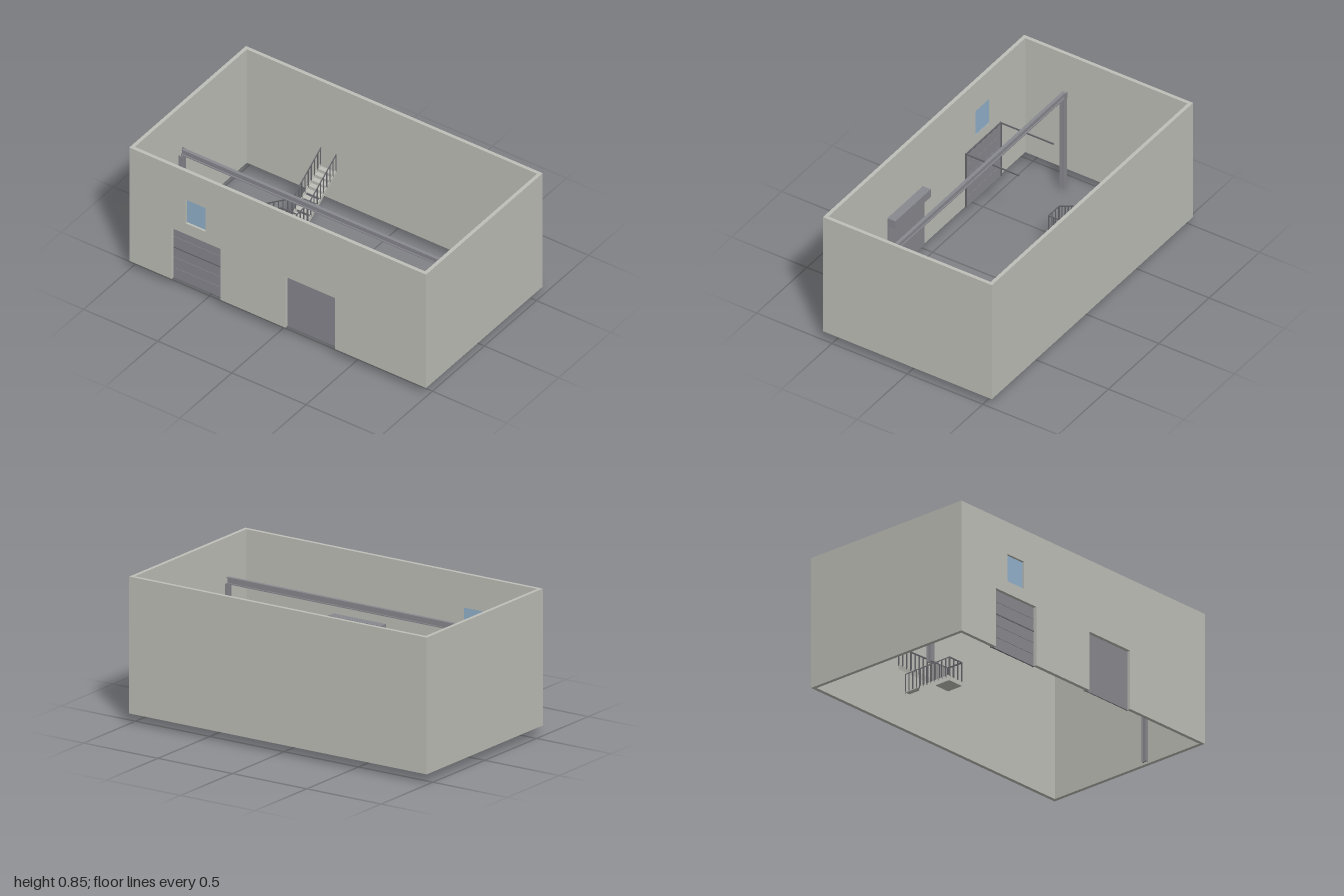
import * as THREE from 'three';

const mat = (name, color, extra = {}) => {
  const m = new THREE.MeshStandardMaterial({ color, ...extra });
  m.name = name;
  return m;
};

export function createModel() {
  const model = new THREE.Group();
  model.name = 'warehouse';
  const wall = mat('concrete', 0xbfbfb9);
  const steel = mat('steel', 0x88888f);
  const dark = mat('darkSteel', 0x66666c);
  const glass = mat('glass', 0x93b2cc);

  const group = (name, parent = model) => {
    const g = new THREE.Group();
    g.name = name;
    parent.add(g);
    return g;
  };
  // Box given by its minimum and maximum corners
  const box = (parent, name, m, [x0, y0, z0], [x1, y1, z1]) => {
    const mesh = new THREE.Mesh(new THREE.BoxGeometry(x1 - x0, y1 - y0, z1 - z0), m);
    mesh.position.set((x0 + x1) / 2, (y0 + y1) / 2, (z0 + z1) / 2);
    mesh.name = name;
    parent.add(mesh);
    return mesh;
  };
  // Flat outline in xy pushed out along z
  const plate = (parent, name, m, points, z, depth, holes = []) => {
    const v = (list) => list.map(([x, y]) => new THREE.Vector2(x, y));
    const shape = new THREE.Shape(v(points));
    holes.forEach((h) => shape.holes.push(new THREE.Path(v(h))));
    const mesh = new THREE.Mesh(new THREE.ExtrudeGeometry(shape, { depth, bevelEnabled: false }), m);
    mesh.position.z = z;
    mesh.name = name;
    parent.add(mesh);
  };

  // Outer walls, open above and below
  const B = 0.06, T = 0.85, X = 1, Z = 0.56, t = 0.022;
  const walls = group('walls');
  plate(walls, 'frontWall', wall, [
    [-X, B], [-0.715, B], [-0.715, 0.415], [-0.385, 0.415], [-0.385, B],
    [0.052, B], [0.052, 0.415], [0.385, 0.415], [0.385, B], [X, B], [X, T], [-X, T],
  ], Z - t, t, [[[-0.62, 0.49], [-0.62, 0.655], [-0.485, 0.655], [-0.485, 0.49]]]);
  box(walls, 'backWall', wall, [-X, B, -Z], [X, T, -Z + t]);
  for (const s of [-1, 1]) {
    const xs = [s * X, s * (X - t)].sort((a, b) => a - b);
    box(walls, 'sideWall', wall, [xs[0], B, -Z + t], [xs[1], T, Z - t]);
  }
  box(model, 'windowPane', glass, [-0.62, 0.49, 0.54], [-0.485, 0.655, 0.546]);

  // Sectional door: five panels on overhead rails
  const door = group('sectionalDoor');
  const panel = (0.418 - B) / 5;
  for (let i = 0; i < 5; i++) {
    box(door, 'doorPanel', steel, [-0.72, B + i * panel, 0.53], [-0.38, B + (i + 1) * panel - 0.002, 0.54]);
  }
  box(door, 'doorSeams', dark, [-0.72, B, 0.532], [-0.38, 0.418, 0.538]);
  box(door, 'doorSeamStrip', dark, [-0.715, 0.268, 0.54], [-0.385, 0.275, 0.542]);
  for (const x of [-0.725, -0.38]) {
    box(door, 'overheadRail', dark, [x - 0.003, 0.422, 0.18], [x + 0.003, 0.43, 0.538]);
    box(door, 'verticalTrack', dark, [x - 0.003, B, 0.526], [x + 0.003, 0.43, 0.538]);
  }
  box(door, 'springBar', dark, [-0.725, 0.422, 0.527], [-0.38, 0.43, 0.535]);

  // Roller door with its drum casing
  const roller = group('rollerDoor');
  box(roller, 'rollerCurtain', steel, [0.048, B, 0.531], [0.388, 0.42, 0.539]);
  box(roller, 'rollerCasing', steel, [0.04, 0.415, 0.485], [0.392, 0.468, 0.538]);
  for (const x of [0.04, 0.384]) {
    box(roller, 'rollerGuide', steel, [x, B, 0.527], [x + 0.008, 0.415, 0.538]);
  }

  // Portal frame: I-section beam on two H-section posts
  const portal = group('portalFrame');
  box(portal, 'beamTopFlange', steel, [-0.882, 0.669, 0.205], [0.878, 0.675, 0.225]);
  box(portal, 'beamBottomFlange', steel, [-0.882, 0.635, 0.205], [0.878, 0.641, 0.225]);
  box(portal, 'beamWeb', steel, [-0.882, 0.641, 0.212], [0.878, 0.669, 0.218]);
  for (const [x0, x1] of [[-0.897, -0.866], [0.868, 0.889]]) {
    for (const z of [0.206, 0.231]) {
      box(portal, 'postFlange', steel, [x0, 0.015, z], [x1, 0.635, z + 0.005]);
    }
    const c = (x0 + x1) / 2;
    box(portal, 'postWeb', steel, [c - 0.003, 0.015, 0.211], [c + 0.003, 0.635, 0.231]);
  }
  box(portal, 'beamBracket', steel, [-0.893, 0.635, 0.2], [-0.87, 0.675, 0.205]);

  // Stair flight climbing along its own +x
  const rise = 0.02, W = 0.052, railH = 0.14, r = 0.0025;
  const flight = (name, n, run, parent) => {
    const g = group(name, parent);
    const L = n * run, H = n * rise;
    for (let i = 0; i < n; i++) {
      const y = (i + 1) * rise + 0.01;
      box(g, 'tread', wall, [i * run, y - 0.005, -W], [(i + 1) * run, y, W]);
    }
    for (const s of [-1, 1]) {
      const z = s * W - 0.002;
      plate(g, 'stringer', wall, [[0, 0], [L, H], [L, H + 0.03], [0, 0.03]], z, 0.004);
      plate(g, 'handrail', dark,
        [[0, railH - 0.007], [L, H + railH - 0.007], [L, H + railH], [0, railH]], z, 0.005);
      for (let i = 0; i <= n; i++) {
        const x = Math.min(Math.max(i * run, r), L - r), y = i * rise;
        box(g, 'baluster', dark, [x - r, y + 0.02, s * W - r], [x + r, y + railH - 0.004, s * W + r]);
      }
    }
    return g;
  };
  const stairs = group('stairs');
  flight('lowerFlight', 8, 0.031, stairs).position.set(-0.66, 0, -0.115);
  const upper = flight('upperFlight', 9, 0.0305, stairs);
  upper.position.set(-0.36, 0.16, -0.167);
  upper.rotation.y = Math.PI / 2;

  // Landing with rails on its two outer edges
  box(stairs, 'landing', wall, [-0.412, 0.155, -0.167], [-0.308, 0.182, -0.063]);
  const railTop = 0.3;
  box(stairs, 'landingRailFront', dark, [-0.412, railTop - 0.007, -0.066], [-0.308, railTop, -0.061]);
  box(stairs, 'landingRailSide', dark, [-0.311, railTop - 0.007, -0.167], [-0.306, railTop, -0.061]);
  for (let i = 0; i <= 3; i++) {
    const d = i * 0.033;
    box(stairs, 'landingBaluster', dark, [-0.31 - d - r, 0.18, -0.066], [-0.31 - d + r, railTop, -0.061]);
    if (i) box(stairs, 'landingBaluster', dark, [-0.311, 0.18, -0.064 - d - r], [-0.306, railTop, -0.064 - d + r]);
  }
  return model;
}
